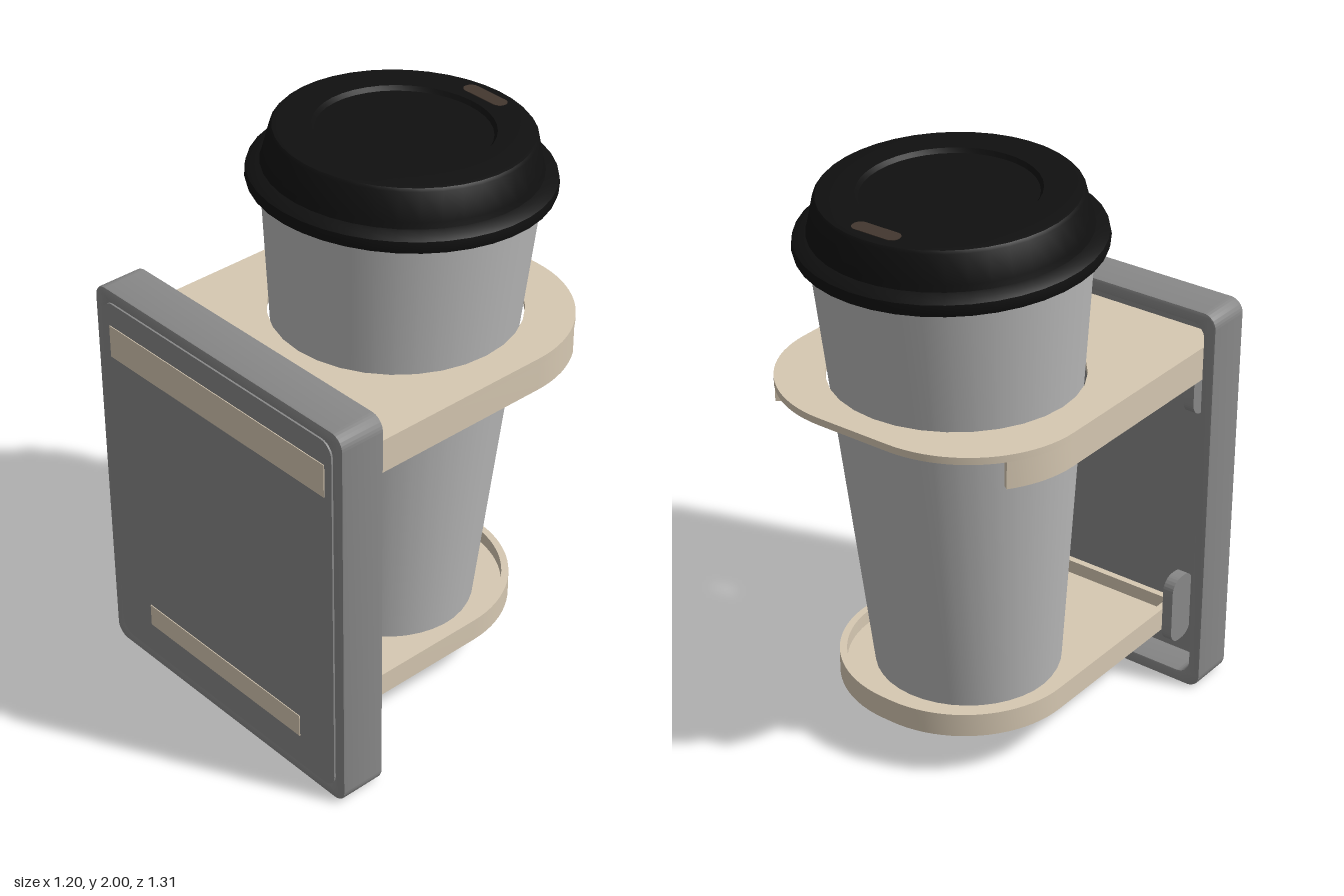
import * as THREE from 'three';
import { toCreasedNormals } from 'three/addons/utils/BufferGeometryUtils.js';

const material = (color) => new THREE.MeshStandardMaterial({ color, side: THREE.DoubleSide });
const tan = material(0xd6c8b2);
const panelGrey = material(0x888888);
const cupGrey = material(0xb8b8b8);
const black = material(0x101010);
const brown = material(0x43372f);

function add(parent, name, geometry, mat) {
  const mesh = new THREE.Mesh(geometry, mat);
  mesh.name = name;
  parent.add(mesh);
  return mesh;
}

function roundedRect(w, y0, y1, r, Type = THREE.Shape) {
  const s = new Type();
  s.moveTo(-w + r, y0);
  s.lineTo(w - r, y0);
  s.absarc(w - r, y0 + r, r, -Math.PI / 2, 0);
  s.absarc(w - r, y1 - r, r, 0, Math.PI / 2);
  s.absarc(-w + r, y1 - r, r, Math.PI / 2, Math.PI);
  s.absarc(-w + r, y0 + r, r, Math.PI, Math.PI * 1.5);
  return s;
}

const extrude = (shape, depth, bevel = 0) => toCreasedNormals(new THREE.ExtrudeGeometry(shape, {
  depth: depth - 2 * bevel, curveSegments: 16, bevelEnabled: bevel > 0,
  bevelSize: bevel, bevelThickness: bevel, bevelOffset: -bevel, bevelSegments: 2,
}).translate(0, 0, bevel), 0.6);

// Horizontal slab from y0 to y1; shape y is -z
const slab = (shape, y0, y1) => extrude(shape, y1 - y0).rotateX(-Math.PI / 2).translate(0, y0, 0);

// Tray outline: square at the wall, rounded at the far end, shrunk by inset
function trayPoints(w, front, back, r, inset) {
  const pts = [];
  const rr = r - inset;
  for (const side of [1, -1]) {
    const arc = [new THREE.Vector2(side * (w - inset), -front + inset)];
    for (let i = 0; i <= 20; i++) {
      const a = (i / 20) * Math.PI / 2;
      arc.push(new THREE.Vector2(side * (w - r + rr * Math.cos(a)), back - r + rr * Math.sin(a)));
    }
    pts.push(...(side > 0 ? arc : arc.reverse()));
  }
  return pts;
}

function buildPanel(group) {
  const frame = roundedRect(0.6, 0, 1.46, 0.05);
  frame.holes.push(roundedRect(0.555, 0.045, 1.415, 0.05, THREE.Path));
  add(group, 'panelFrame', extrude(frame, 0.168, 0.006).translate(0, 0, 0.48), panelGrey);
  add(group, 'panelPlate', extrude(roundedRect(0.557, 0.043, 1.417, 0.05), 0.053).translate(0, 0, 0.6), panelGrey);

  // Rounded hinge ears inside the recess
  for (const side of [1, -1]) {
    for (const [name, x, y0, y1] of [['upperHinge', 0.505, 1.06, 1.29], ['lowerHinge', 0.455, 0.13, 0.39]]) {
      const ear = extrude(roundedRect(0.06, y0, y1, 0.05), 0.04)
        .rotateY(Math.PI / 2).translate(side * x - 0.02, 0, 0.545);
      add(group, name, ear, panelGrey);
    }
  }
}

function buildUpperHolder(group) {
  const dims = [0.55, 0.6, 0.65, 0.41];
  const plate = new THREE.Shape(trayPoints(...dims, 0));
  plate.holes.push(new THREE.Path().absarc(0, 0.125, 0.425, 0, Math.PI * 2, true));
  add(group, 'upperHolderPlate', slab(plate, 1.305, 1.33), tan);

  // Skirt walls stop short of the rounded end
  const wall = (inset) => trayPoints(...dims, inset).filter((p) => p.x > 0 && p.y < 0.485);
  const half = [...wall(0), ...wall(0.025).reverse()];
  for (const side of [1, -1]) {
    const shape = new THREE.Shape(half.map((p) => new THREE.Vector2(side * p.x, p.y)));
    add(group, 'upperHolderSkirt', slab(shape, 1.21, 1.306), tan);
  }
  add(group, 'upperTab', new THREE.BoxGeometry(1.05, 0.12, 0.08).translate(0, 1.27, 0.616), tan);
}

function buildLowerTray(group) {
  const dims = [0.42, 0.6, 0.51, 0.4];
  add(group, 'lowerTrayFloor', slab(new THREE.Shape(trayPoints(...dims, 0.01)), 0.165, 0.2), tan);
  const rim = new THREE.Shape(trayPoints(...dims, 0));
  rim.holes.push(new THREE.Path(trayPoints(...dims, 0.025)));
  add(group, 'lowerTrayRim', slab(rim, 0.165, 0.25), tan);
  add(group, 'lowerTab', new THREE.BoxGeometry(0.78, 0.085, 0.08).translate(0, 0.2075, 0.616), tan);
}

function lathe(profile) {
  const points = profile.map(([r, y]) => new THREE.Vector2(r, y));
  return toCreasedNormals(new THREE.LatheGeometry(points, 40), 0.6);
}

function buildCup(group) {
  // Cup leans back slightly in its holder
  const cup = new THREE.Group();
  cup.name = 'cup';
  cup.position.set(0, 0.2, -0.063);
  cup.rotation.x = -0.053;
  group.add(cup);

  add(cup, 'cupBody', lathe([[0, 0.02], [0.3, 0.02], [0.305, 0.002], [0.322, 0.002], [0.457, 1.62]]), cupGrey);
  add(cup, 'lid', lathe([
    [0.452, 1.6], [0.485, 1.588], [0.5, 1.596], [0.504, 1.612], [0.5, 1.635], [0.482, 1.647],
    [0.456, 1.655], [0.45, 1.675], [0.428, 1.768], [0.42, 1.777], [0.405, 1.78],
    [0.295, 1.78], [0.285, 1.765], [0, 1.765],
  ]), black);
  // Drinking slot in the lid
  add(cup, 'drinkSlot', slab(roundedRect(0.09, 0.33, 0.385, 0.027), 1.774, 1.7815), brown);
}

export function createModel() {
  const group = new THREE.Group();
  group.name = 'wallCupHolder';
  buildPanel(group);
  buildUpperHolder(group);
  buildLowerTray(group);
  buildCup(group);
  return group;
}
